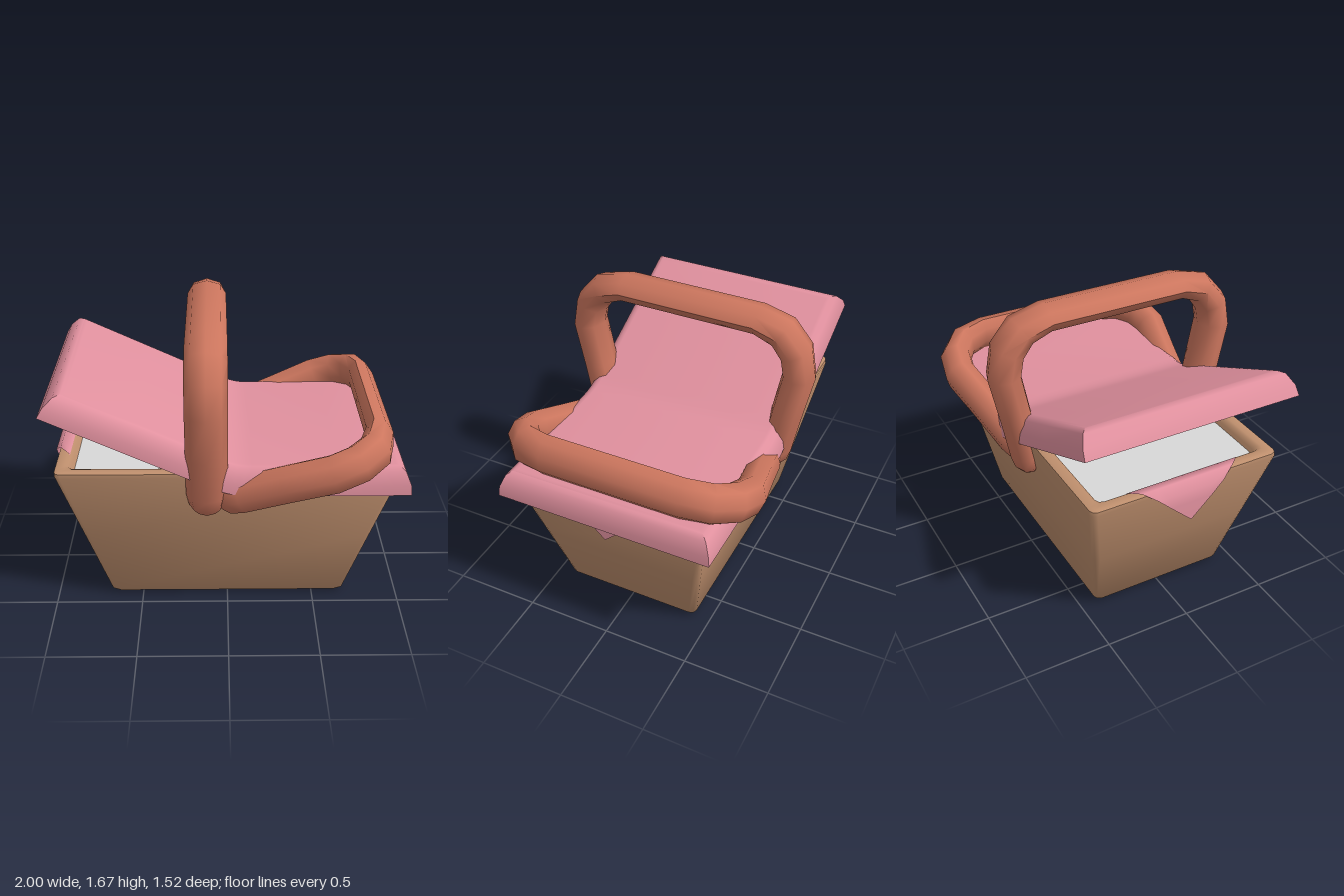
import * as THREE from 'three';
import { toCreasedNormals } from 'three/addons/utils/BufferGeometryUtils.js';

const mat = (name, color, side = THREE.FrontSide) => {
  const m = new THREE.MeshStandardMaterial({ color, side });
  m.name = name;
  return m;
};

// Joins closed loops of points into a skin, capped at both ends
function loft(rings, crease) {
  const n = rings[0].length, last = (rings.length - 1) * n, idx = [];
  for (let i = 0; i < rings.length - 1; i++) {
    for (let j = 0; j < n; j++) {
      const k = (j + 1) % n, a = i * n + j, b = i * n + k;
      idx.push(a, b, b + n, a, b + n, a + n);
    }
  }
  for (let j = 0; j < n / 2 - 1; j++) {
    const a = j, b = j + 1, c = n - 2 - j, d = n - 1 - j;
    idx.push(a, c, b, a, d, c);
    idx.push(last + a, last + b, last + c, last + a, last + c, last + d);
  }
  const g = new THREE.BufferGeometry();
  g.setAttribute('position', new THREE.Float32BufferAttribute(rings.flat().flatMap(p => [p.x, p.y, p.z]), 3));
  g.setIndex(idx);
  return toCreasedNormals(g, crease);
}

// Rounded rectangle loop at height y
function roundRect(hx, hz, r, y) {
  const pts = [];
  [[1, 1], [1, -1], [-1, -1], [-1, 1]].forEach(([sx, sz], q) => {
    for (let i = 0; i < 3; i++) {
      const a = (q - 1) * Math.PI / 2 + i * Math.PI / 4;
      pts.push(new THREE.Vector3(sx * (hx - r) + r * Math.cos(a), y, sz * (hz - r) - r * Math.sin(a)));
    }
  });
  return pts;
}

// Tapered tub with a rounded floor edge and a thick rolled rim
function basketGeometry() {
  const profile = [[0, 0.035], [0.008, 0.014], [0.03, 0], [0.45, 0], [0.87, 0], [0.893, 0.008], [0.9, 0.025],
    [0.9, 0.06], [0.893, 0.075], [0.87, 0.085], [0.78, 0.11]];
  return loft(profile.map(([y, inset]) =>
    roundRect(0.68 + 0.31 * y - inset, 0.405 + 0.195 * y - inset, 0.035, y)), 0.9);
}

// Follows the lid along its length: level on the left, folding upward on the right
const FOLD = THREE.MathUtils.degToRad(25);
function bend(s, h, z) {
  const start = 0.13, len = 0.22, d = start - s;
  if (d <= 0) return new THREE.Vector3(s, 0.79 + h, z);
  const R = len / FOLD, a = FOLD * Math.min(d / len, 1), over = Math.max(d - len, 0);
  const x = start - R * Math.sin(a) - over * Math.cos(a);
  const y = 0.79 + R * (1 - Math.cos(a)) + over * Math.sin(a);
  return new THREE.Vector3(x + h * Math.sin(a), y + h * Math.cos(a), z);
}

// Hollow lid, from the inner ceiling down round the lip and up to the top
function lidGeometry() {
  const profile = [[0.06, 0.118], [0.035, 0], [0, 0], [0.006, 0.06], [0.035, 0.13], [0.065, 0.15], [0.085, 0.152]];
  return loft(profile.map(([inset, h]) => {
    const stations = [-1.1 + inset, -0.6, -0.14, -0.09, -0.035, 0.02, 0.075, 0.13, 0.6, 1 - inset];
    const z = 0.635 - inset;
    return [...stations.map(s => bend(s, h, z)), ...stations.reverse().map(s => bend(s, h, -z))];
  }), 0.8);
}

// Chunky eight-sided handle, pivot at the origin, arching along +y
function handleGeometry() {
  // z, y, in-plane radius, sideways radius
  const half = [[0.54, -0.115, 0.055, 0.065], [0.548, -0.075, 0.08, 0.1], [0.562, 0, 0.09, 0.115],
    [0.61, 0.26, 0.092, 0.115], [0.665, 0.53, 0.095, 0.115], [0.64, 0.67, 0.095, 0.115],
    [0.555, 0.775, 0.09, 0.115], [0.41, 0.82, 0.077, 0.115]];
  const path = [...half, ...half.map(([z, ...r]) => [-z, ...r]).reverse()];
  const pts = path.map(([z, y]) => new THREE.Vector3(0, y, z));
  const X = new THREE.Vector3(1, 0, 0);
  return loft(path.map(([, , r, w], i) => {
    const t = pts[Math.min(i + 1, pts.length - 1)].clone().sub(pts[Math.max(i - 1, 0)]).normalize();
    const e = t.clone().cross(X);
    return Array.from({ length: 8 }, (_, j) => {
      const a = j * Math.PI / 4;
      return pts[i].clone().addScaledVector(X, w * Math.cos(a)).addScaledVector(e, r * Math.sin(a));
    });
  }), 1.0);
}

// Napkin corner draped over the rim at one end, ending in a point
function flapGeometry(side, shift) {
  const rows = [[0.86, 0.845, 0.37], [0.89, 0.903, 0.34], [0.945, 0.912, 0.28], [0.983, 0.86, 0.2],
    [0.988, 0.79, 0.125], [0.991, 0.675, 0]];
  const cols = 6, g = new THREE.PlaneGeometry(1, 1, cols, rows.length - 1), p = g.attributes.position;
  for (let i = 0; i < p.count; i++) {
    const [x, y, w] = rows[Math.floor(i / (cols + 1))], u = (i % (cols + 1)) / cols * 2 - 1;
    p.setXYZ(i, side * (x - shift), y, -side * u * w);
  }
  g.computeVertexNormals();
  return g;
}

export function createModel() {
  const group = new THREE.Group();
  const tan = mat('tan wicker', 0xc0906e);
  const pink = mat('pink lid', 0xe0909e);
  const cloth = mat('pink napkin', 0xe0909e, THREE.DoubleSide);
  const rust = mat('rust handle', 0xcc765e);
  const pale = mat('pale lining', 0xd8d8d8);

  const add = (name, geometry, material) => {
    const m = new THREE.Mesh(geometry, material);
    m.name = name;
    group.add(m);
    return m;
  };

  add('basket', basketGeometry(), tan);
  add('lining', new THREE.BoxGeometry(1.74, 0.008, 0.98), pale).position.y = 0.845;
  add('lid', lidGeometry(), pink);

  // One handle stands upright, the other leans over the closed lid
  add('uprightHandle', handleGeometry(), rust).position.set(-0.115, 0.77, 0);
  const leaning = add('leaningHandle', handleGeometry(), rust);
  leaning.position.set(0.07, 0.76, 0);
  leaning.rotation.z = -THREE.MathUtils.degToRad(70);

  add('napkinLeft', flapGeometry(1, 0.04), cloth);
  add('napkinRight', flapGeometry(-1, 0), cloth);
  return group;
}
